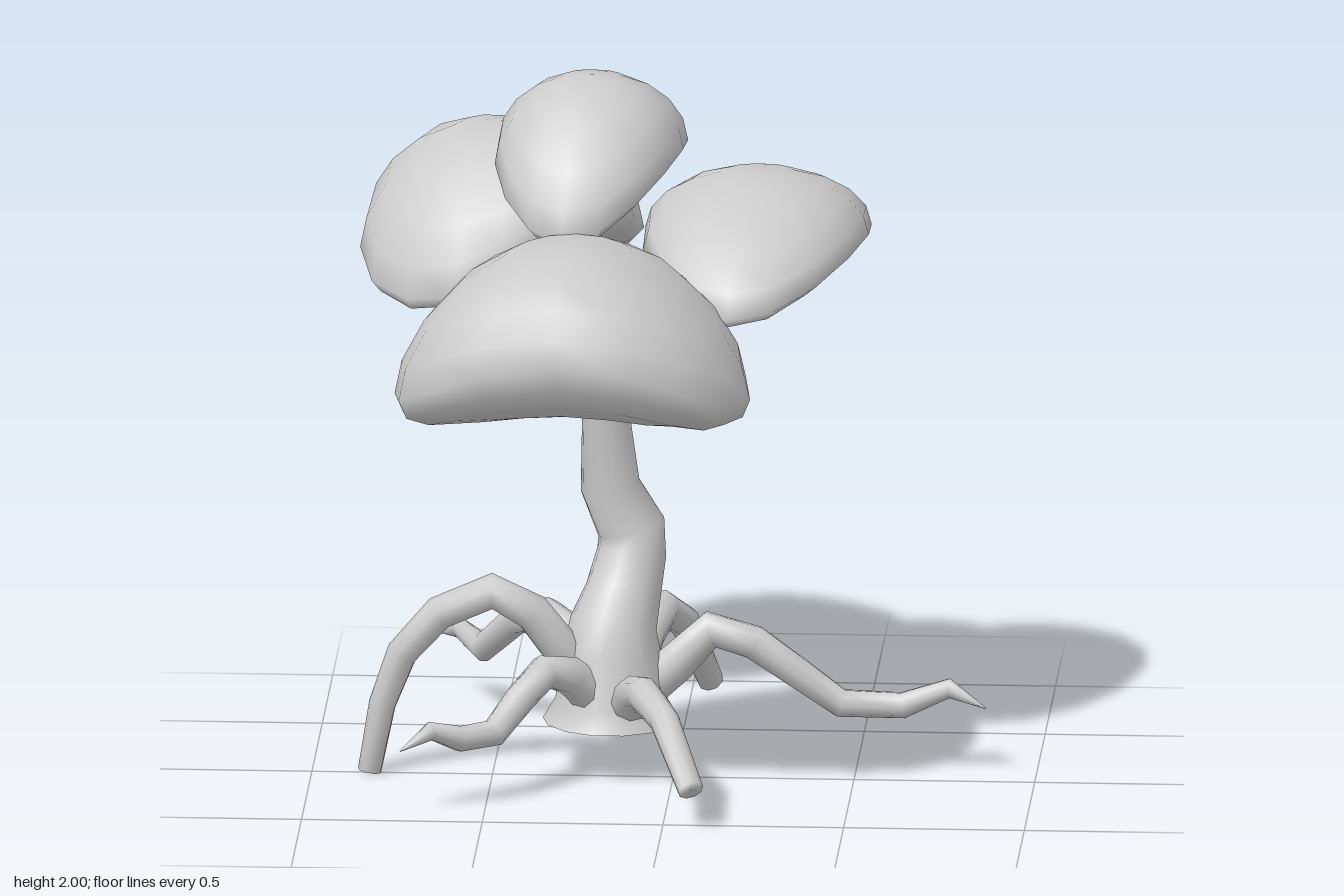
import * as THREE from 'three';
import { mergeVertices } from 'three/addons/utils/BufferGeometryUtils.js';

const material = new THREE.MeshStandardMaterial({ color: 0xcccccc, side: THREE.DoubleSide });

// Tapered limb through points [x, y, z, radius]; the far end is closed
function limb(name, points, sides = 9, level = false) {
  const p = points.map(([x, y, z]) => new THREE.Vector3(x, y, z));
  const last = p.length - 1;
  const run = p[last].clone().sub(p[0]);
  const side = level ? new THREE.Vector3(1, 0, 0) : new THREE.Vector3(-run.z, 0, run.x).normalize();
  const pos = [], index = [];
  for (let i = 0; i <= last + 1; i++) {
    const k = Math.min(i, last);
    const t = p[Math.min(k + 1, last)].clone().sub(p[Math.max(k - 1, 0)]).normalize();
    if (level && i < 2) t.set(0, 1, 0);
    const s = side.clone().addScaledVector(t, -side.dot(t)).normalize();
    const n = t.clone().cross(s);
    const r = i > last ? 0.001 : points[k][3];
    for (let j = 0; j < sides; j++) {
      const a = (j / sides) * Math.PI * 2;
      const v = p[k].clone().addScaledVector(s, r * Math.cos(a)).addScaledVector(n, r * Math.sin(a));
      pos.push(v.x, v.y, v.z);
      if (i > last) continue;
      const b = i * sides + ((j + 1) % sides), c = i * sides + j;
      index.push(c, b, b + sides, c, b + sides, c + sides);
    }
  }
  const g = new THREE.BufferGeometry();
  g.setAttribute('position', new THREE.Float32BufferAttribute(pos, 3));
  g.setIndex(index);
  g.computeVertexNormals();
  const mesh = new THREE.Mesh(g, material);
  mesh.name = name;
  return mesh;
}

// Cushion of leaves whose long axis droops at both ends; keel narrows the underside
function canopy(name, { at, long, wide, top, bottom, droop, yaw, tilt = 0, power = 1, keel = 0 }) {
  let g = new THREE.SphereGeometry(1, 16, 10);
  g.deleteAttribute('uv');
  g.deleteAttribute('normal');
  g = mergeVertices(g, 1e-4);
  const pos = g.attributes.position;
  const swell = (v) => Math.sign(v) * Math.abs(v) ** power;
  for (let i = 0; i < pos.count; i++) {
    const u = swell(pos.getX(i)), w = swell(pos.getZ(i)), y = pos.getY(i);
    const depth = Math.min(1, Math.max(0, -y));
    const narrow = 1 - keel + keel * Math.sqrt((1 - depth) / (1 + depth));
    pos.setXYZ(i, u * long, y * (y > 0 ? top : bottom) - droop * u * u, w * wide * narrow);
  }
  g.computeVertexNormals();
  const mesh = new THREE.Mesh(g, material);
  mesh.name = name;
  mesh.position.set(...at);
  mesh.rotation.set(0, yaw, tilt);
  return mesh;
}

export function createModel() {
  const tree = new THREE.Group();
  tree.name = 'tree';

  // Winding trunk, open at the flared foot
  tree.add(limb('trunk', [
    [-0.175, 0.15, -0.07, 0.19], [-0.175, 0.21, -0.07, 0.155], [-0.175, 0.33, -0.07, 0.14],
    [-0.17, 0.42, -0.09, 0.12], [-0.145, 0.5, -0.13, 0.105], [-0.125, 0.6, -0.17, 0.096],
    [-0.126, 0.67, -0.177, 0.095], [-0.185, 0.79, -0.175, 0.083], [-0.195, 1.0, -0.145, 0.066],
    [-0.225, 1.2, -0.09, 0.045], [-0.22, 1.42, -0.08, 0.025], [-0.22, 1.68, -0.06, 0.008],
  ], 14, true));

  // Arching roots, some blunt and some pointed
  const roots = {
    rightRoot: [[-0.22, 0.24, -0.05, 0.055], [-0.31, 0.36, -0.02, 0.055], [-0.39, 0.475, 0.015, 0.053],
      [-0.5, 0.535, 0.025, 0.051], [-0.645, 0.47, 0.02, 0.048], [-0.75, 0.35, 0.01, 0.044],
      [-0.805, 0.2, 0, 0.038], [-0.84, 0.01, 0, 0.033]],
    leftRoot: [[-0.12, 0.2, -0.07, 0.057], [0.0, 0.31, -0.07, 0.057], [0.1, 0.41, -0.07, 0.053],
      [0.22, 0.375, -0.07, 0.048], [0.35, 0.28, -0.08, 0.043], [0.46, 0.2, -0.085, 0.04],
      [0.63, 0.195, -0.09, 0.037], [0.76, 0.25, -0.075, 0.028], [0.86, 0.195, -0.07, 0.002]],
    frontLeftRoot: [[-0.14, 0.18, -0.02, 0.058], [-0.1, 0.27, 0.11, 0.054], [-0.07, 0.308, 0.24, 0.048],
      [-0.005, 0.27, 0.37, 0.042], [0.08, 0.12, 0.555, 0.036]],
    backLeftRoot: [[-0.14, 0.22, -0.12, 0.062], [-0.09, 0.35, -0.25, 0.057], [-0.05, 0.39, -0.36, 0.05],
      [0, 0.32, -0.48, 0.045], [0.03, 0.22, -0.57, 0.04], [0.065, 0.1, -0.66, 0.036]],
    frontRightRoot: [[-0.2, 0.2, -0.02, 0.057], [-0.28, 0.31, 0.07, 0.054], [-0.35, 0.335, 0.13, 0.048],
      [-0.41, 0.28, 0.2, 0.043], [-0.48, 0.2, 0.28, 0.039], [-0.57, 0.2, 0.35, 0.036],
      [-0.65, 0.235, 0.4, 0.026], [-0.73, 0.19, 0.45, 0.002]],
    backRightRoot: [[-0.2, 0.22, -0.12, 0.057], [-0.31, 0.35, -0.25, 0.054], [-0.37, 0.365, -0.36, 0.048],
      [-0.46, 0.32, -0.47, 0.043], [-0.56, 0.2, -0.6, 0.039], [-0.63, 0.225, -0.71, 0.028], [-0.69, 0.19, -0.79, 0.002]],
  };
  for (const [name, points] of Object.entries(roots)) tree.add(limb(name, points));

  // Thin kinked branches under the canopies
  const branches = {
    frontBranch: [[-0.22, 1.28, -0.08, 0.034], [-0.23, 1.21, 0, 0.031], [-0.25, 1.175, 0.07, 0.027],
      [-0.29, 1.24, 0.16, 0.023], [-0.31, 1.25, 0.24, 0.01]],
    backBranch: [[-0.21, 1.22, -0.09, 0.034], [-0.27, 1.33, -0.19, 0.03], [-0.31, 1.33, -0.25, 0.027],
      [-0.38, 1.24, -0.33, 0.023], [-0.43, 1.235, -0.4, 0.02], [-0.5, 1.31, -0.46, 0.002]],
    leftBranch: [[-0.22, 1.26, -0.08, 0.034], [-0.09, 1.28, -0.075, 0.031], [0.0, 1.28, -0.07, 0.027],
      [0.12, 1.37, -0.08, 0.022], [0.25, 1.43, -0.08, 0.003]],
  };
  for (const [name, points] of Object.entries(branches)) tree.add(limb(name, points, 7));

  // Four leaf canopies
  tree.add(
    canopy('frontCanopy', { at: [-0.255, 1.4, 0.47], long: 0.495, wide: 0.395, top: 0.26, bottom: 0.21, droop: 0.18, yaw: -0.07, tilt: 0.015, power: 0.88 }),
    canopy('backCanopy', { at: [-0.5, 1.52, -0.46], long: 0.43, wide: 0.34, top: 0.23, bottom: 0.145, droop: 0.19, yaw: 0.97, power: 0.88, keel: 0.3 }),
    canopy('leftCanopy', { at: [0.225, 1.54, -0.13], long: 0.52, wide: 0.312, top: 0.17, bottom: 0.115, droop: 0.135, yaw: 1.47, tilt: -0.03, keel: 0.4 }),
    canopy('topCanopy', { at: [-0.23, 1.8, -0.055], long: 0.405, wide: 0.26, top: 0.2, bottom: 0.125, droop: 0.16, yaw: 1.42, tilt: 0.04, keel: 0.4 }),
  );
  return tree;
}
